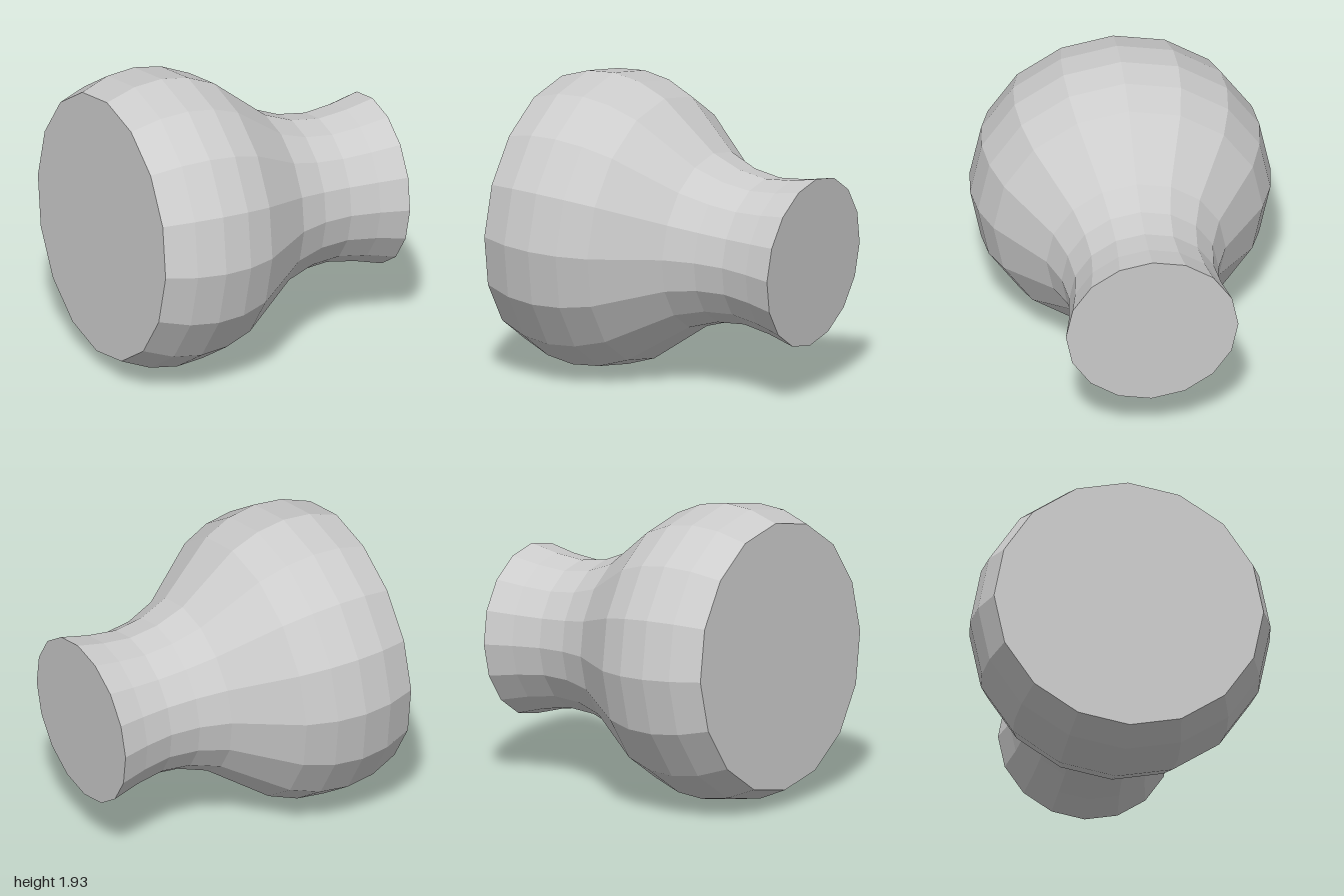
import * as THREE from 'three';

export function createModel() {
  const model = new THREE.Group();
  const grey = new THREE.MeshStandardMaterial({ color: 0xcccccc, flatShading: true });
  grey.name = 'plain grey';

  // Ring radii and positions along the axis, from the wide bulb end to the flared neck
  const rings = [
    [0.871, -0.963], [0.945, -0.767], [0.968, -0.573], [0.943, -0.381], [0.868, -0.188],
    [0.578, 0.195], [0.506, 0.391], [0.483, 0.588], [0.51, 0.784], [0.556, 0.974],
  ];
  // Close both ends with flat caps
  const profile = [[0, -0.963], ...rings, [0, 0.974]].map(([r, s]) => new THREE.Vector2(r, s));

  const body = new THREE.Mesh(new THREE.LatheGeometry(profile, 16), grey);
  body.name = 'bulbBody';
  // Lay the axis along x, with the neck tipped slightly down
  body.rotation.z = -Math.PI / 2 - 0.0435;
  body.position.y = 0.948;
  model.add(body);
  return model;
}
